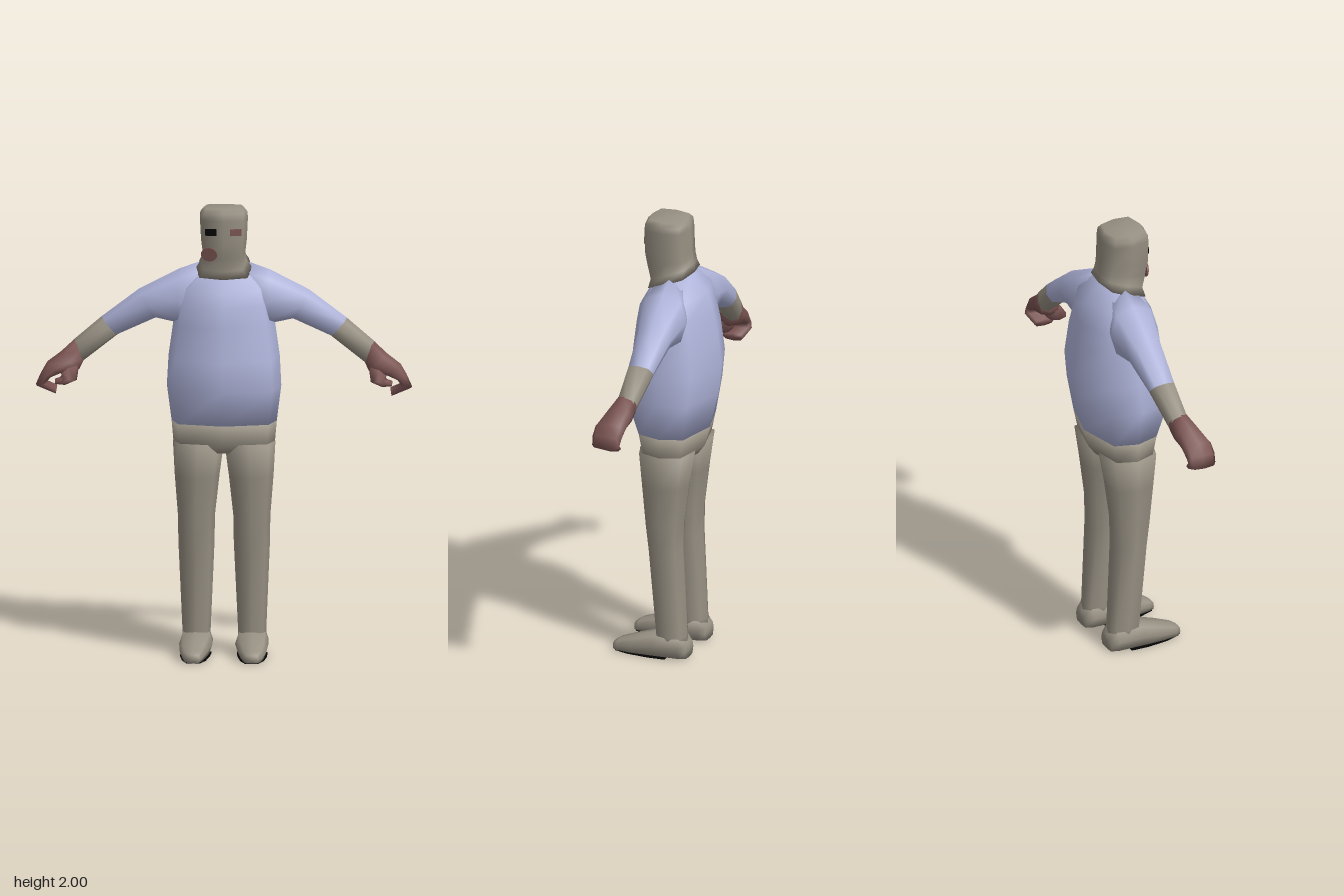
import * as THREE from 'three';

const mat = (name, color) => {
  const m = new THREE.MeshStandardMaterial({ color });
  m.name = name;
  return m;
};

// Eight-sided section: centre c, half axes u and v, corner factors ku and kv
function section(c, u, v, ku, kv) {
  const f = [[0, 1], [ku, kv], [1, 0], [ku, -kv], [0, -1], [-ku, -kv], [-1, 0], [-ku, kv]];
  return f.map(([a, b]) => c.map((n, i) => n + a * u[i] + b * v[i]));
}

// Level section, with its own height at front and back
const level = (x, yf, yb, w, zf, zb, ku = 0.75, kv = 0.75) =>
  section([x, (yf + yb) / 2, (zf + zb) / 2], [w, 0, 0], [0, (yf - yb) / 2, (zf - zb) / 2], ku, kv);

// Section across a limb, from its outer point to its inner point
const across = (s, [ax, ay], [bx, by], zf, zb, k = 0.75) =>
  section([s * (ax + bx) / 2, (ay + by) / 2, (zf + zb) / 2],
    [s * (ax - bx) / 2, (ay - by) / 2, 0], [0, 0, (zf - zb) / 2], k, k);

// Smooth closed skin over a row of sections
function loft(rings) {
  const n = 8, pts = rings.flat(), idx = [], last = (rings.length - 1) * n;
  for (let r = 0; r < rings.length - 1; r++) {
    for (let i = 0; i < n; i++) {
      const a = r * n + i, b = r * n + (i + 1) % n;
      idx.push(a, b, b + n, a, b + n, a + n);
    }
  }
  const mid = r => [0, 1, 2].map(k => r.reduce((t, p) => t + p[k], 0) / n);
  const c0 = pts.length, c1 = c0 + 1;
  const all = [...pts, mid(rings[0]), mid(rings[rings.length - 1])];
  for (let i = 0; i < n; i++) {
    const j = (i + 1) % n;
    idx.push(c0, j, i, c1, last + i, last + j);
  }
  // turn the faces outward
  let vol = 0;
  const [A, B, C] = [0, 1, 2].map(() => new THREE.Vector3());
  for (let i = 0; i < idx.length; i += 3) {
    A.fromArray(all[idx[i]]); B.fromArray(all[idx[i + 1]]); C.fromArray(all[idx[i + 2]]);
    vol += A.dot(B.cross(C));
  }
  if (vol < 0) idx.reverse();
  const g = new THREE.BufferGeometry();
  g.setAttribute('position', new THREE.Float32BufferAttribute(all.flat(), 3));
  g.setIndex(idx);
  g.computeVertexNormals();
  return g;
}

export function createModel() {
  const model = new THREE.Group();
  const tan = mat('tan', 0x979083), shirt = mat('shirt', 0xafb4da);
  const brown = mat('brown', 0x7a5452), black = mat('black', 0x050505);
  const add = (name, geo, material) => {
    const m = new THREE.Mesh(geo, material);
    m.name = name;
    model.add(m);
    return m;
  };

  // Trunk: height at front and back, half width, front, back
  add('shirtBody', loft([
    [1.04, 1.04, 0.23, 0.135, -0.17],
    [1.2, 1.2, 0.25, 0.2, -0.21],
    [1.33, 1.33, 0.243, 0.188, -0.225],
    [1.48, 1.48, 0.222, 0.17, -0.207],
    [1.57, 1.57, 0.205, 0.158, -0.188],
    [1.63, 1.67, 0.185, 0.125, -0.162],
    [1.69, 1.76, 0.115, 0.09, -0.08],
  ].map(r => level(0, ...r, 0.86, 0.68))), shirt);
  add('hips', loft([
    [0.91, 0.91, 0.19, 0.085, -0.115],
    [0.95, 0.95, 0.222, 0.112, -0.145],
    [1.04, 1.04, 0.23, 0.135, -0.17],
  ].map(r => level(0, ...r, 0.86, 0.68))), tan);

  // Neck and head in one skin
  add('head', loft([
    [1.685, 1.755, 0.125, 0.097, -0.1],
    [1.72, 1.79, 0.098, 0.092, -0.095],
    [1.78, 1.82, 0.094, 0.108, -0.09],
    [1.85, 1.85, 0.1, 0.12, -0.086],
    [1.95, 1.95, 0.105, 0.12, -0.08],
    [1.98, 1.975, 0.103, 0.118, -0.076],
    [2.0, 1.993, 0.088, 0.1, -0.062],
  ].map(r => level(0, ...r, 0.84, 0.82))), tan);

  // Face plates
  const eye = new THREE.BoxGeometry(0.05, 0.03, 0.008);
  for (const s of [1, -1]) {
    const e = add(s > 0 ? 'leftEye' : 'rightEye', eye, s > 0 ? brown : black);
    e.position.set(s * 0.054, 1.9, 0.109);
    e.rotation.y = s * 0.18;
  }
  const mouth = add('mouth', new THREE.CylinderGeometry(1, 1, 0.009, 20).rotateX(Math.PI / 2), brown);
  mouth.scale.set(0.036, 0.031, 1);
  mouth.position.set(-0.062, 1.8, 0.1);
  mouth.rotation.set(0.17, -0.18, 0);

  for (const s of [1, -1]) {
    const side = s > 0 ? 'left' : 'right';
    const limb = (name, rows, material) =>
      add(side + name, loft(rows.map(r => across(s, ...r))), material);

    // Arm
    limb('Sleeve', [
      [[0.08, 1.755], [0.1, 1.45], 0.06, -0.1],
      [[0.2, 1.71], [0.2, 1.47], 0.085, -0.14],
      [[0.37, 1.62], [0.3, 1.49], 0.04, -0.12],
      [[0.535, 1.495], [0.465, 1.415], 0.02, -0.1],
    ], shirt);
    limb('Forearm', [
      [[0.535, 1.495], [0.465, 1.415], 0.02, -0.1],
      [[0.66, 1.39], [0.62, 1.295], 0.015, -0.072],
    ], tan);

    // Curled hand with a gap between fingers and thumb
    limb('Hand', [
      [[0.65, 1.398], [0.615, 1.297], 0.016, -0.074],
      [[0.71, 1.345], [0.632, 1.265], 0.05, -0.068],
      [[0.772, 1.3], [0.71, 1.25], 0.075, -0.065],
      [[0.8, 1.25], [0.755, 1.235], 0.075, -0.06],
      [[0.822, 1.2], [0.772, 1.21], 0.07, -0.055],
      [[0.735, 1.16], [0.728, 1.195], 0.055, -0.04],
    ], brown);
    limb('Thumb', [
      [[0.632, 1.29], [0.72, 1.27], 0.055, -0.04],
      [[0.642, 1.225], [0.708, 1.245], 0.085, -0.01],
      [[0.69, 1.205], [0.715, 1.24], 0.085, 0.01],
      [[0.735, 1.21], [0.737, 1.23], 0.075, 0.02],
    ], brown);

    // Leg: height, inner and outer x, front, back
    add(side + 'Leg', loft([
      [0.04, 0.06, 0.185, 0.03, -0.115],
      [0.1, 0.06, 0.183, 0.03, -0.112],
      [0.5, 0.042, 0.2, 0.062, -0.09],
      [0.62, 0.04, 0.202, 0.078, -0.095],
      [0.8, 0.02, 0.216, 0.095, -0.118],
      [0.95, 0.0, 0.224, 0.112, -0.143],
    ].map(([y, a, b, zf, zb]) =>
      level(s * (a + b) / 2, y, y, (b - a) / 2, zf, zb, 0.78, 0.78))), tan);

    // Foot: z, centre x, half width, height
    add(side + 'Foot', loft([
      [-0.12, 0.122, 0.052, 0.07],
      [-0.09, 0.122, 0.07, 0.1],
      [0.03, 0.122, 0.073, 0.103],
      [0.13, 0.128, 0.062, 0.075],
      [0.2, 0.13, 0.046, 0.052],
      [0.223, 0.128, 0.03, 0.038],
    ].map(([z, x, w, h]) =>
      section([s * x, (h + 0.003) / 2, z], [w, 0, 0], [0, (h - 0.003) / 2, 0], 0.8, 0.9))), tan);

    // Dark front of the sole
    const outline = [[0.055, -0.03], [0.188, -0.03], [0.19, 0.05], [0.178, 0.15], [0.155, 0.215],
      [0.1, 0.215], [0.075, 0.15], [0.06, 0.05]];
    const shape = new THREE.Shape(outline.map(([x, z]) => new THREE.Vector2(s * x, z)));
    const sole = new THREE.ExtrudeGeometry(shape, { depth: 0.006, bevelEnabled: false });
    add(side + 'Sole', sole.rotateX(Math.PI / 2).translate(0, 0.006, 0), black);
  }
  return model;
}
